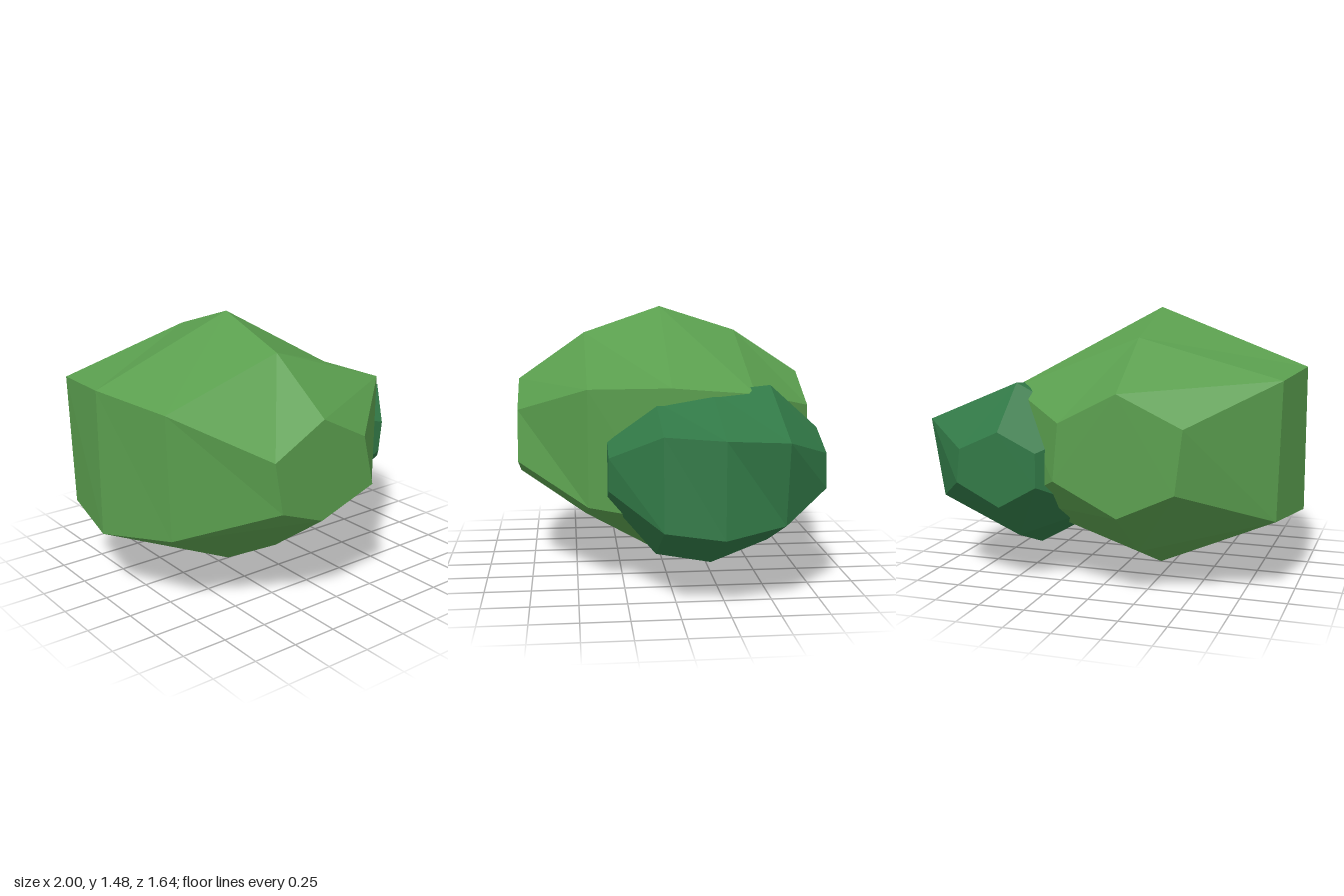
import * as THREE from 'three';

// Faceted boulder lofted through six-sided rings, listed from back to front.
// Ring: [z, then x,y of top, upper left, lower left, bottom, lower right, upper right as seen from the front]
function loftRings(rings) {
  const points = rings.map(([z, ...xy]) =>
    Array.from({ length: 6 }, (_, j) => [xy[2 * j], xy[2 * j + 1], z]));
  const positions = [];
  const tri = (a, b, c) => positions.push(...a, ...b, ...c);
  for (let i = 0; i < points.length - 1; i++) {
    for (let j = 0; j < 6; j++) {
      const k = (j + 1) % 6;
      const a = points[i][j], b = points[i][k], c = points[i + 1][k], d = points[i + 1][j];
      tri(a, b, c);
      tri(a, c, d);
    }
  }
  // flat hexagonal end caps
  const back = points[0], front = points[points.length - 1];
  for (let j = 1; j < 5; j++) {
    tri(back[0], back[j + 1], back[j]);
    tri(front[0], front[j], front[j + 1]);
  }
  const geometry = new THREE.BufferGeometry();
  geometry.setAttribute('position', new THREE.Float32BufferAttribute(positions, 3));
  geometry.computeVertexNormals();
  return geometry;
}

export function createModel() {
  const group = new THREE.Group();
  const lightGreen = new THREE.MeshStandardMaterial({ color: 0x5a9e4e });
  lightGreen.name = 'lightGreen';
  const darkGreen = new THREE.MeshStandardMaterial({ color: 0x317846 });
  darkGreen.name = 'darkGreen';

  // large main clump
  const large = new THREE.Mesh(loftRings([
    [-0.82, -0.18, 1.09, -0.52, 0.93, -0.48, 0.6, -0.18, 0.46, 0.16, 0.63, 0.13, 0.93],
    [-0.44, -0.18, 1.34, -0.94, 1.14, -0.92, 0.41, -0.18, 0.185, 0.54, 0.42, 0.54, 1.05],
    [0, -0.18, 1.48, -1, 1.17, -1, 0.38, -0.18, 0, 0.54, 0.37, 0.54, 1.085],
    [0.44, -0.18, 1.33, -0.87, 1.12, -0.85, 0.45, -0.18, 0.245, 0.545, 0.46, 0.55, 1.085],
    [0.82, -0.18, 1.065, -0.49, 0.9, -0.44, 0.62, -0.18, 0.52, 0.17, 0.64, 0.1, 0.92],
  ]), lightGreen);
  large.name = 'largeClump';

  // smaller clump tucked into the left side
  const small = new THREE.Mesh(loftRings([
    [-0.785, 0.48, 0.86, 0.27, 0.76, 0.27, 0.58, 0.48, 0.46, 0.72, 0.58, 0.7, 0.76],
    [-0.53, 0.48, 1.09, 0.03, 0.87, 0.03, 0.43, 0.48, 0.245, 0.93, 0.44, 1, 0.87],
    [-0.22, 0.48, 1.06, 0.02, 0.88, 0.02, 0.385, 0.48, 0.125, 0.985, 0.385, 0.98, 0.88],
    [0.08, 0.48, 1.01, 0.05, 0.89, 0.05, 0.41, 0.48, 0.18, 0.945, 0.42, 0.92, 0.895],
    [0.34, 0.48, 0.83, 0.27, 0.75, 0.27, 0.58, 0.48, 0.49, 0.69, 0.58, 0.71, 0.755],
  ]), darkGreen);
  small.name = 'smallClump';

  group.add(large, small);
  return group;
}
